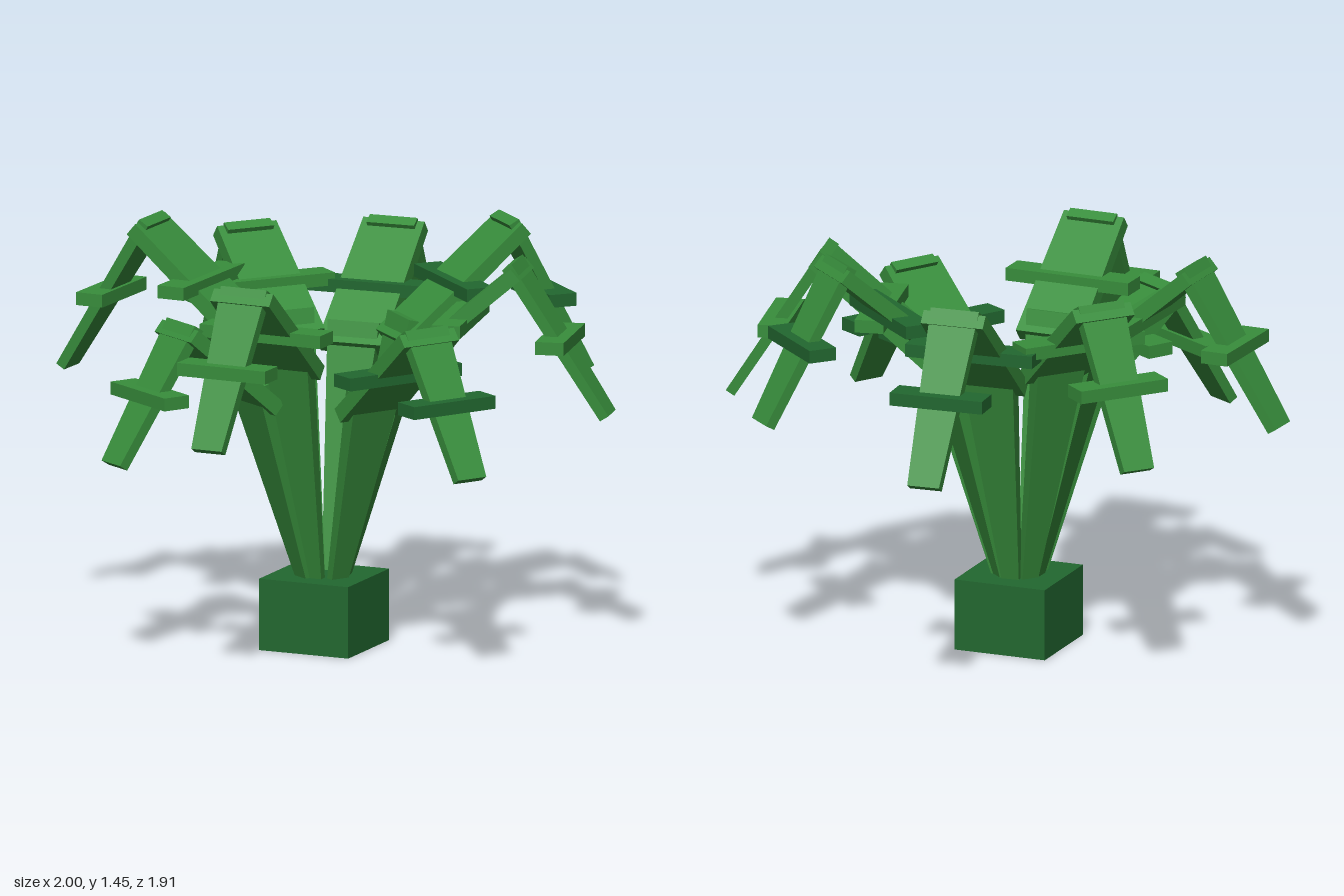
import * as THREE from 'three';

const leafGreen = new THREE.MeshStandardMaterial({ color: 0x388e3c });
leafGreen.name = 'leaf green';
const darkGreen = new THREE.MeshStandardMaterial({ color: 0x226830 });
darkGreen.name = 'dark green';

// Tapered slab between two [radius, height] points in a frond's own plane
function slab(name, from, to, widths, thicknesses) {
  const dr = to[0] - from[0], dy = to[1] - from[1];
  const length = Math.hypot(dr, dy);
  const geo = new THREE.BoxGeometry(1, length, 1);
  const p = geo.attributes.position;
  for (let i = 0; i < p.count; i++) {
    const end = p.getY(i) > 0 ? 1 : 0;
    p.setX(i, p.getX(i) * widths[end]);
    p.setZ(i, p.getZ(i) * thicknesses[end]);
  }
  geo.computeVertexNormals();
  const mesh = new THREE.Mesh(geo, leafGreen);
  mesh.name = name;
  mesh.position.set(0, (from[1] + to[1]) / 2, (from[0] + to[0]) / 2);
  mesh.rotation.x = Math.atan2(dr, dy);
  return mesh;
}

// Level crosswise leaflet
function leaflet(name, width, r, y, material) {
  const mesh = new THREE.Mesh(new THREE.BoxGeometry(width, 0.045, 0.1), material);
  mesh.name = name;
  mesh.position.set(0, y, r);
  return mesh;
}

// One arching frond: stem, rising blade, drooping tip and two leaflets
function frond({ dir, peak, tip, dark }) {
  const group = new THREE.Group();
  group.name = 'frond';
  const [rp, yp] = peak;
  const bladeEnd = [rp + 0.025, yp - 0.03];
  const bladeY = r => bladeEnd[1] - 0.85 * (bladeEnd[0] - r);
  const bladeStart = [0.26, bladeY(0.26)];
  const tipStart = [rp - 0.01, yp - 0.01];
  const material = dark ? darkGreen : leafGreen;
  const rMid = (bladeStart[0] + bladeEnd[0]) / 2;
  group.add(
    slab('stem', [0.005, 0.002], [0.305, bladeY(0.305) + 0.045], [0.025, 0.19], [0.02, 0.06]),
    slab('blade', bladeStart, bladeEnd, [0.24, 0.225], [0.055, 0.05]),
    slab('tip', tipStart, tip, [0.175, 0.115], [0.04, 0.035]),
    leaflet('innerLeaflet', 0.46, rMid, bladeY(rMid), material),
    leaflet('outerLeaflet', 0.335, (tipStart[0] + tip[0]) / 2, (tipStart[1] + tip[1]) / 2, material)
  );
  group.position.z = 0.03;
  group.rotation.y = Math.atan2(dir[0], dir[1]);
  return group;
}

// Direction as [x, z]; peak and tip as [radius, height]
const fronds = [
  { dir: [-0.02, 0.91], peak: [0.62, 1.37], tip: [0.905, 0.85] },
  { dir: [-0.46, 0.74], peak: [0.58, 1.2], tip: [0.86, 0.73] },
  { dir: [-1.0, -0.04], peak: [0.66, 1.44], tip: [0.985, 0.89] },
  { dir: [-0.68, -0.56], peak: [0.6, 1.37], tip: [0.875, 0.84] },
  { dir: [-0.06, -0.98], peak: [0.65, 1.37], tip: [0.97, 0.82], dark: true },
  { dir: [0.66, -0.73], peak: [0.68, 1.45], tip: [0.965, 0.9], dark: true },
  { dir: [0.985, -0.21], peak: [0.67, 1.38], tip: [0.995, 0.85] },
  { dir: [0.77, 0.47], peak: [0.62, 1.22], tip: [0.895, 0.735], dark: true },
];

export function createModel() {
  const model = new THREE.Group();
  model.name = 'plant';

  // Square pot
  const pot = new THREE.Mesh(new THREE.BoxGeometry(0.335, 0.25, 0.335), darkGreen);
  pot.name = 'pot';
  pot.position.set(0, 0.125, 0.03);
  model.add(pot);

  fronds.forEach(f => model.add(frond(f)));
  return model;
}
